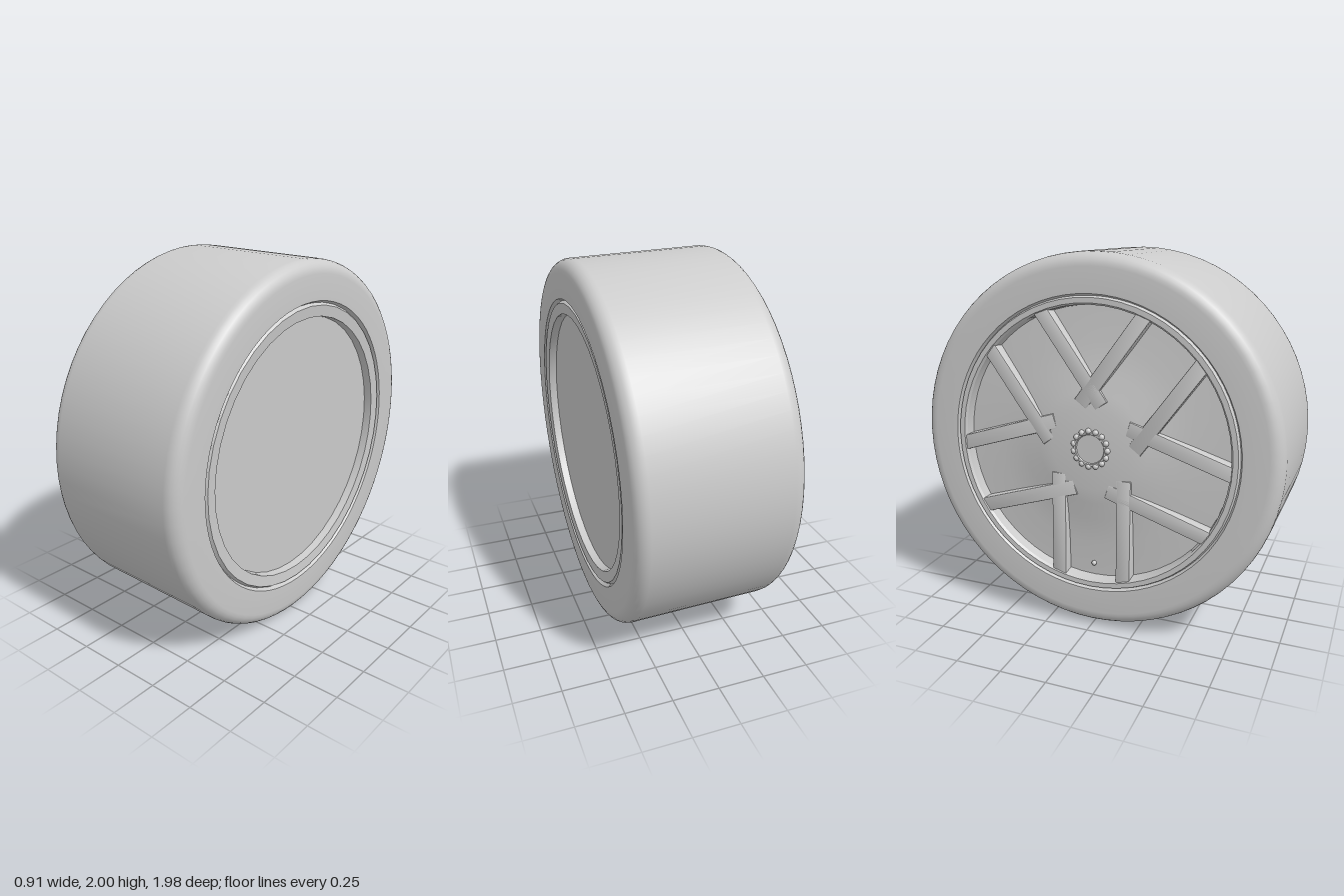
import * as THREE from 'three';
import { toCreasedNormals } from 'three/addons/utils/BufferGeometryUtils.js';

export function createModel() {
  const grey = new THREE.MeshStandardMaterial({ color: 0xcccccc });
  grey.name = 'grey';
  const wheel = new THREE.Group();
  wheel.name = 'wheel';

  const add = (name, geometry) => {
    const mesh = new THREE.Mesh(geometry, grey);
    mesh.name = name;
    wheel.add(mesh);
    return mesh;
  };

  // Turned part: [radius, offset along the axle], outer face towards -x
  const turned = (name, profile, sides, crease = 0.5) => {
    const geo = new THREE.LatheGeometry(profile.map(([r, a]) => new THREE.Vector2(r, a)), sides);
    geo.rotateZ(Math.PI / 2);
    add(name, toCreasedNormals(geo, crease));
  };

  // Tyre with rounded shoulders
  const R = 0.991, W = 0.428, c = 0.07;
  const shoulder = [];
  for (let i = 0; i <= 6; i++) {
    const t = (i / 6) * Math.PI / 2;
    shoulder.push([R - c + c * Math.sin(t), -W + c - c * Math.cos(t)]);
  }
  turned('tyre', [
    [0.775, -0.405], [0.787, -W], ...shoulder,
    ...shoulder.map(([r, a]) => [r, -a]).reverse(), [0.79, W], [0.778, 0.405],
  ], 72);

  // Inner side: recessed plate inside a raised ring
  turned('innerPlate', [
    [0, -0.375], [0.703, -0.375], [0.707, -0.418], [0.765, -0.424], [0.778, -0.405],
  ], 40);

  // Outer side: rim lip and dish rising to the hub
  turned('rimDish', [
    [0.782, 0.405], [0.772, 0.428], [0.745, 0.428], [0.735, 0.415], [0.73, 0.36],
    [0.55, 0.37], [0.4, 0.388], [0.3, 0.41], [0.22, 0.421], [0, 0.423],
  ], 60);

  // Five pairs of parallel spokes
  for (let k = 0; k < 5; k++) {
    const axis = THREE.MathUtils.degToRad(54 + 72 * k);
    for (const side of [-1, 1]) {
      const corners = [[0.16, 0.15], [0.725, 0.15], [0.705, 0.215], [0.16, 0.215]]
        .map(([t, o]) => new THREE.Vector2(t, o * side));
      const geo = new THREE.ExtrudeGeometry(new THREE.Shape(corners), {
        depth: 0.07, bevelEnabled: true, bevelThickness: 0.008, bevelSize: 0.008, bevelSegments: 2,
      });
      geo.translate(0, 0, 0.345);
      geo.rotateZ(axis);
      geo.rotateY(-Math.PI / 2);
      add('spoke', toCreasedNormals(geo, 0.7));
    }
  }

  // Centre cap with a ring of small knobs
  turned('centreCap', [[0.095, 0.4], [0.09, 0.432], [0.08, 0.432], [0.076, 0.426], [0, 0.426]], 30);
  for (let i = 0; i < 15; i++) {
    const t = (i / 15) * Math.PI * 2;
    const knob = add('capKnob', new THREE.SphereGeometry(0.016, 10, 8));
    knob.position.set(-0.424, 0.095 * Math.sin(t), 0.095 * Math.cos(t));
  }

  // Valve between the lower pair of spokes
  const valve = add('valve', new THREE.SphereGeometry(0.014, 10, 8));
  valve.position.set(-0.372, -0.66, 0);

  // Slight lean of the whole wheel
  wheel.rotation.z = -0.027;
  wheel.position.y = 1.0;

  const model = new THREE.Group();
  model.name = 'wheelModel';
  model.add(wheel);
  return model;
}
